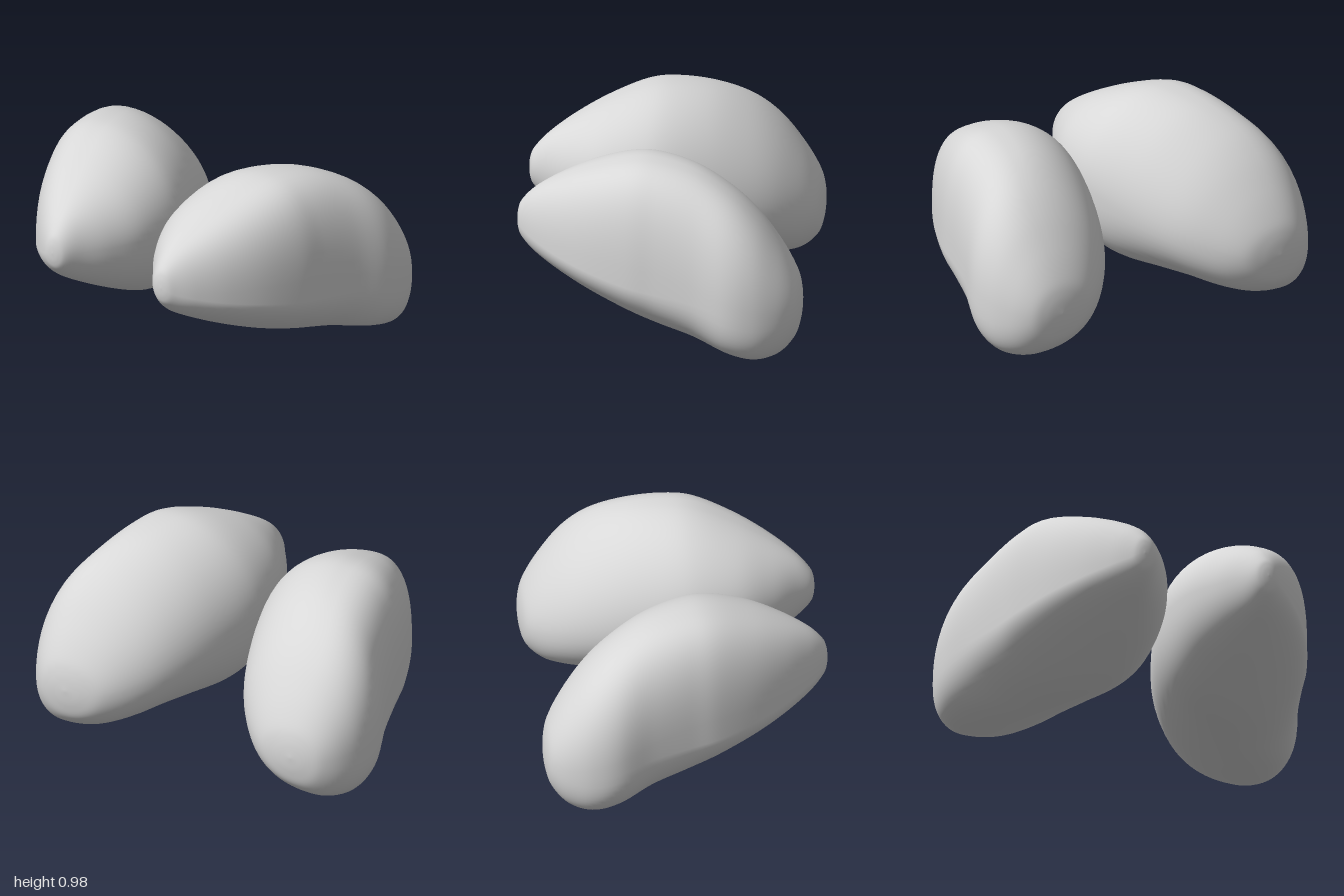
import * as THREE from 'three';
import { mergeVertices } from 'three/addons/utils/BufferGeometryUtils.js';

// Cross-sections from front tip to back end: z, top y, bottom y, inner x, outer x,
// x of top, x of bottom, y of outer, y of inner (the extreme points of the outline)
const SECTIONS = [
  [0.76, 0.55, 0.55, 0.35, 0.35, 0.35, 0.35, 0.55, 0.55],
  [0.754, 0.605, 0.495, 0.312, 0.387, 0.35, 0.35, 0.54, 0.55],
  [0.732, 0.655, 0.447, 0.277, 0.425, 0.35, 0.35, 0.52, 0.55],
  [0.66, 0.73, 0.38, 0.225, 0.51, 0.36, 0.35, 0.49, 0.55],
  [0.53, 0.815, 0.302, 0.135, 0.625, 0.39, 0.35, 0.45, 0.55],
  [0.36, 0.9, 0.213, 0.055, 0.735, 0.43, 0.35, 0.41, 0.55],
  [0.16, 0.97, 0.122, 0.025, 0.825, 0.48, 0.36, 0.37, 0.53],
  [0, 0.98, 0.075, 0.04, 0.87, 0.51, 0.42, 0.35, 0.5],
  [-0.2, 0.94, 0.05, 0.1, 0.932, 0.57, 0.56, 0.33, 0.45],
  [-0.38, 0.852, 0.02, 0.175, 0.998, 0.64, 0.72, 0.29, 0.4],
  [-0.52, 0.735, 0.003, 0.26, 0.993, 0.67, 0.78, 0.26, 0.36],
  [-0.64, 0.585, 0.025, 0.37, 0.94, 0.68, 0.76, 0.25, 0.31],
  [-0.72, 0.45, 0.095, 0.48, 0.865, 0.69, 0.71, 0.26, 0.28],
  [-0.75, 0.362, 0.18, 0.585, 0.785, 0.69, 0.69, 0.27, 0.27],
  [-0.76, 0.27, 0.27, 0.69, 0.69, 0.69, 0.69, 0.27, 0.27],
];
// Fullness of the quarters at the same sections: upper outer, lower outer, lower inner
const FULLNESS = [
  [2, 2, 2], [2, 2, 2], [2.1, 2, 2], [2.3, 2, 2.1], [2.6, 2, 2.3],
  [2.8, 2, 2.5], [2.9, 2, 2.5], [2.8, 2.1, 2.4], [2.5, 2.3, 2.2], [2.3, 2.7, 2.1],
  [2.3, 2.7, 2.1], [2.2, 2.4, 2.1], [2.1, 2.2, 2], [2, 2, 2], [2, 2, 2],
];
const RINGS = 84;
const SIDES = 64;

// One smooth curve for each column of the sections
const smoothColumns = (rows) => rows[0].map((_, c) =>
  new THREE.SplineCurve(rows.map((row, i) => new THREE.Vector2(i, row[c]))));
const outline = smoothColumns(SECTIONS);
const fullness = smoothColumns(FULLNESS);

// Rounded bean; side +1 is the left one, -1 its mirror image
function beanGeometry(side) {
  const positions = [];
  const index = [];
  for (let i = 0; i <= RINGS; i++) {
    const at = (curve) => curve.getPoint(i / RINGS).y;
    const [z, top, bottom, inner, outer, topX, bottomX, outerY, innerY] = outline.map(at);
    const [upperOuter, lowerOuter, lowerInner] = fullness.map(at);
    for (let j = 0; j < SIDES; j++) {
      // Each quarter is a superellipse between two extreme points
      const a = (j / SIDES) * Math.PI * 2;
      const s = Math.sin(a);
      const c = Math.cos(a);
      const up = c >= 0;
      const out = s >= 0;
      const n = out ? (up ? upperOuter : lowerOuter) : (up ? 1.95 : lowerInner);
      const u = Math.pow(Math.abs(s), 2 / n);
      const v = Math.pow(Math.abs(c), 2 / n);
      const midX = up ? topX : bottomX;
      const midY = out ? outerY : innerY;
      positions.push(
        side * (midX + ((out ? outer : inner) - midX) * u),
        midY + ((up ? top : bottom) - midY) * v,
        z);
    }
  }
  for (let i = 0; i < RINGS; i++) {
    for (let j = 0; j < SIDES; j++) {
      const k = (j + 1) % SIDES;
      const a = i * SIDES + j;
      const b = i * SIDES + k;
      const c = a + SIDES;
      const d = b + SIDES;
      if (side > 0) index.push(a, b, c, b, d, c);
      else index.push(a, c, b, b, c, d);
    }
  }
  let geometry = new THREE.BufferGeometry();
  geometry.setAttribute('position', new THREE.Float32BufferAttribute(positions, 3));
  geometry.setIndex(index);
  geometry = mergeVertices(geometry, 1e-5); // joins the end points
  geometry.computeVertexNormals();
  return geometry;
}

export function createModel() {
  const group = new THREE.Group();
  group.name = 'beanPair';
  const grey = new THREE.MeshStandardMaterial({ color: 0xd8d8d8 });
  grey.name = 'light grey';
  for (const side of [1, -1]) {
    const bean = new THREE.Mesh(beanGeometry(side), grey);
    bean.name = side > 0 ? 'leftBean' : 'rightBean';
    group.add(bean);
  }
  return group;
}
